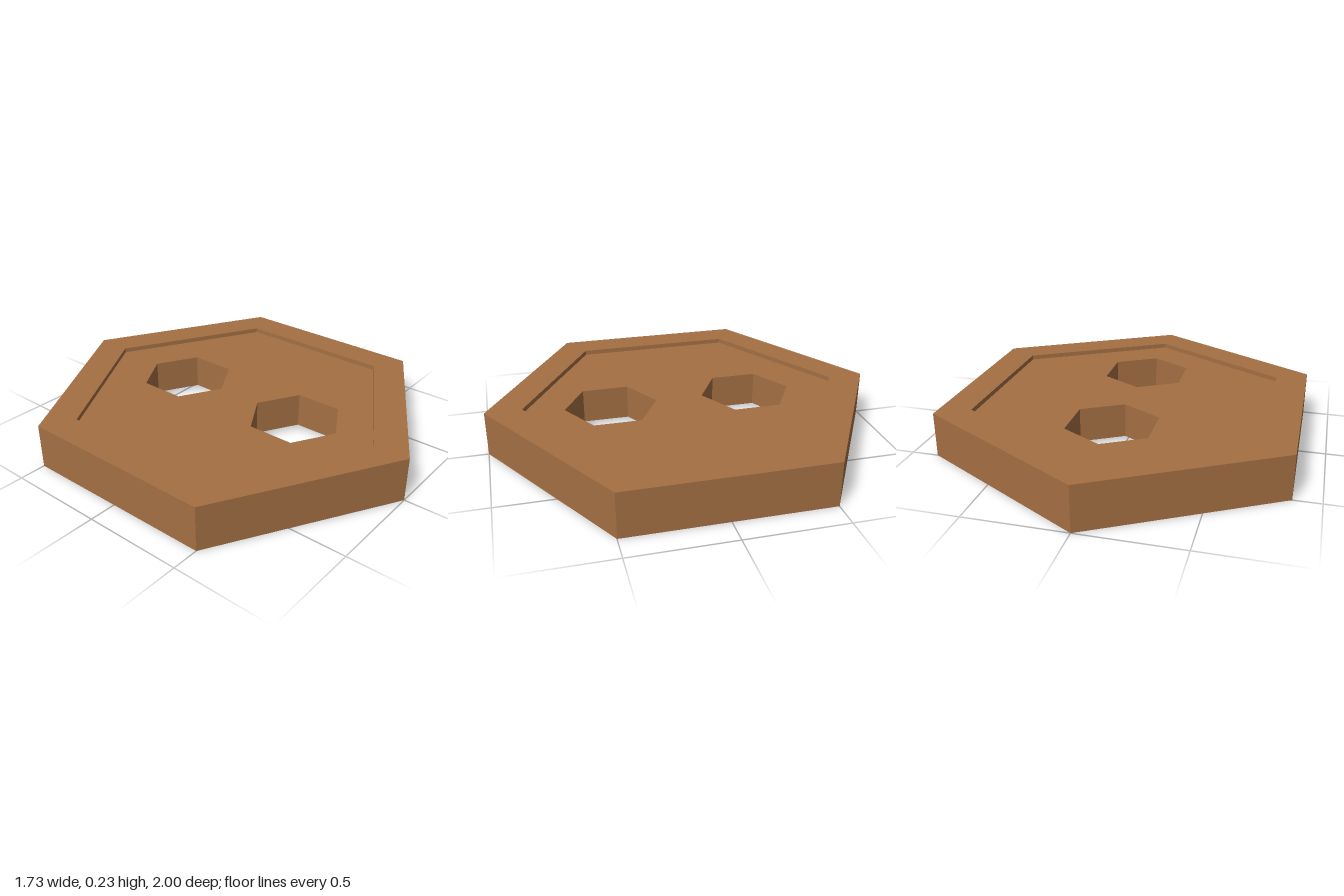
import * as THREE from 'three';

const HEIGHT = 0.226;
const RECESS = 0.024;
const INNER = 0.817;

// Corner points of a hexagon with a corner on the z axis
function hexPoints(radius, cx = 0, cz = 0) {
  return Array.from({ length: 6 }, (_, i) => {
    const a = Math.PI / 2 + (i * Math.PI) / 3;
    return new THREE.Vector2(cx + radius * Math.cos(a), cz + radius * Math.sin(a));
  });
}

// Upright hexagonal slab between two heights, with hexagonal openings
function hexSlab(name, radius, openings, bottom, top, material) {
  const shape = new THREE.Shape(hexPoints(radius));
  for (const [r, x, z] of openings) shape.holes.push(new THREE.Path(hexPoints(r, x, z)));
  const geometry = new THREE.ExtrudeGeometry(shape, { depth: top - bottom, bevelEnabled: false });
  geometry.rotateX(Math.PI / 2);
  geometry.translate(0, top, 0);
  const mesh = new THREE.Mesh(geometry, material);
  mesh.name = name;
  return mesh;
}

export function createModel() {
  const wood = new THREE.MeshStandardMaterial({ color: 0xa46f43 });
  wood.name = 'brown wood';

  const model = new THREE.Group();
  model.name = 'hexagonalButton';

  // Raised border
  model.add(hexSlab('rim', 1, [[INNER, 0, 0]], 0, HEIGHT, wood));

  // Panel recessed on both sides, pierced by two hexagonal holes
  const holes = [[0.235, 0.008, -0.335], [0.235, 0.008, 0.375]];
  model.add(hexSlab('panel', INNER, holes, RECESS, HEIGHT - RECESS, wood));

  return model;
}
